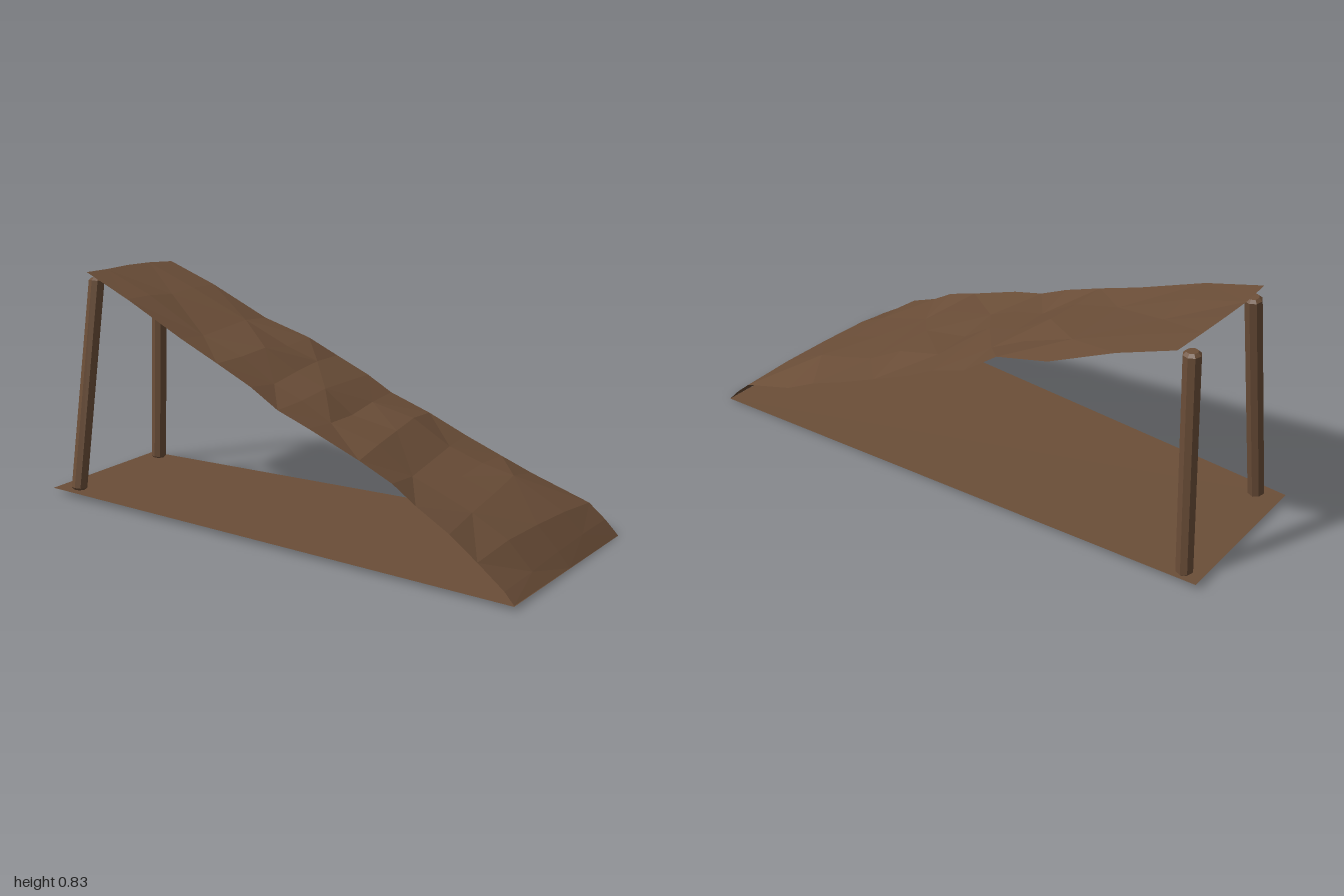
import * as THREE from 'three';

const material = new THREE.MeshStandardMaterial({
  color: 0x6b4e38, flatShading: true, side: THREE.DoubleSide,
});

// Surface through rows of points, each row having the same number of points
function sheet(rows) {
  const n = rows[0].length;
  const index = [];
  for (let r = 0; r < rows.length - 1; r++) {
    for (let c = 0; c < n - 1; c++) {
      const a = r * n + c, b = a + 1, d = a + n, e = d + 1;
      if ((r + c) % 2) index.push(a, b, d, b, e, d);
      else index.push(a, b, e, a, e, d);
    }
  }
  const geometry = new THREE.BufferGeometry();
  geometry.setAttribute('position', new THREE.Float32BufferAttribute(rows.flat(2), 3));
  geometry.setIndex(index);
  geometry.computeVertexNormals();
  return new THREE.Mesh(geometry, material);
}

// Pole with slightly bevelled ends between two points
function pole(from, to, radius) {
  const a = new THREE.Vector3(...from), b = new THREE.Vector3(...to);
  const h = a.distanceTo(b), bevel = 0.01;
  const profile = [[0, 0], [radius - bevel, 0], [radius, bevel], [radius, h - bevel], [radius - bevel, h], [0, h]]
    .map(([x, y]) => new THREE.Vector2(x, y));
  const mesh = new THREE.Mesh(new THREE.LatheGeometry(profile, 8), material);
  mesh.position.copy(a);
  mesh.quaternion.setFromUnitVectors(new THREE.Vector3(0, 1, 0), b.sub(a).normalize());
  return mesh;
}

export function createModel() {
  const group = new THREE.Group();

  // Ground cloth
  const ground = sheet([
    [[-1, 0.02, 0.19], [0.94, 0.012, 0.42]],
    [[-0.97, 0.02, -0.4], [1, 0, -0.39]],
  ]);
  ground.name = 'groundSheet';
  group.add(ground);

  // Sloping cover: ragged front and back edges, from the ground up
  const front = [
    [0.94, 0.015, 0.42], [0.9, 0.045, 0.4], [0.8, 0.11, 0.375], [0.7, 0.18, 0.363],
    [0.57, 0.24, 0.33], [0.48, 0.295, 0.315], [0.35, 0.345, 0.29], [0.15, 0.42, 0.268],
    [0.02, 0.46, 0.245], [-0.1, 0.52, 0.22], [-0.25, 0.58, 0.195], [-0.42, 0.645, 0.165],
    [-0.68, 0.755, 0.12], [-0.9, 0.83, 0.07],
  ];
  const back = [
    [1, 0, -0.39], [0.95, 0.05, -0.393], [0.89, 0.1, -0.395], [0.67, 0.17, -0.412],
    [0.56, 0.22, -0.4], [0.42, 0.275, -0.405], [0.27, 0.34, -0.41], [0.12, 0.4, -0.4],
    [0.02, 0.455, -0.405], [-0.12, 0.51, -0.423], [-0.22, 0.575, -0.385], [-0.42, 0.63, -0.4],
    [-0.66, 0.74, -0.405], [-0.86, 0.815, -0.41],
  ];
  // Height of the wrinkles on the three inner columns of each row
  const bumps = [
    [0, 0, 0], [0, 0.005, 0.005], [0.02, 0.02, 0.015], [0.015, 0.025, 0.04],
    [0, 0.01, 0.015], [-0.02, -0.01, 0], [0.01, 0.015, 0.02], [-0.015, -0.02, -0.005],
    [0, 0.01, 0.005], [-0.02, -0.005, 0.005], [0, 0.008, -0.01], [-0.01, 0, 0.01],
    [0, -0.01, 0], [0, 0.005, 0.005],
  ];
  const cover = sheet(front.map((f, r) => [0, 0.25, 0.5, 0.75, 1].map((t, c) => {
    const p = f.map((v, i) => v + (back[r][i] - v) * t);
    p[1] += bumps[r][c - 1] ?? 0;
    if (r === front.length - 1) p[0] -= 0.05 * t * (1 - t); // bowed top edge
    return p;
  })));
  cover.name = 'slopingCover';
  group.add(cover);

  // Two poles holding up the high edge
  const frontPole = pole([-0.91, 0.015, 0.15], [-0.885, 0.805, 0.03], 0.029);
  frontPole.name = 'frontPole';
  const backPole = pole([-0.91, 0.015, -0.36], [-0.885, 0.8, -0.365], 0.029);
  backPole.name = 'backPole';
  group.add(frontPole, backPole);

  return group;
}
